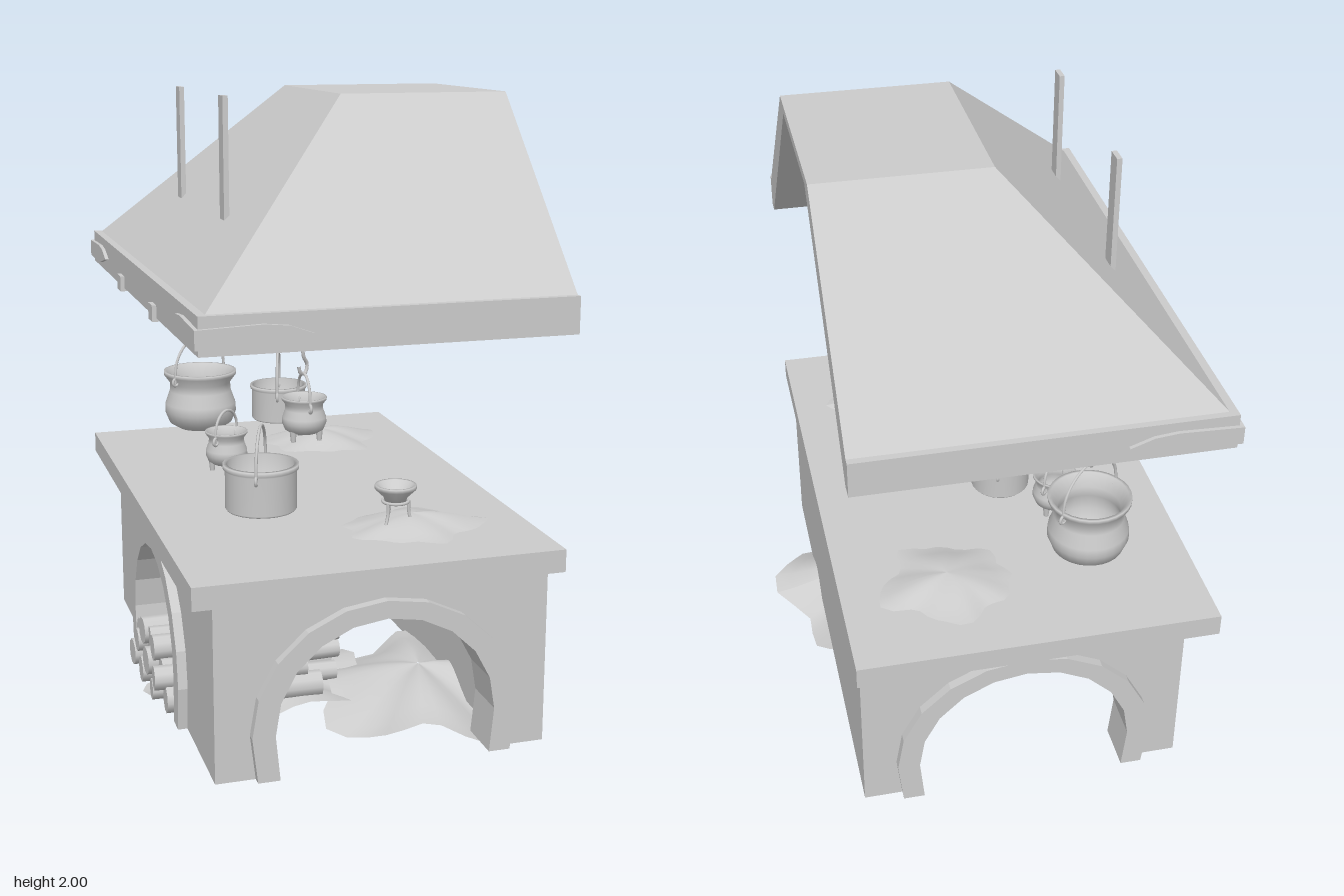
import * as THREE from 'three';

const grey = new THREE.MeshStandardMaterial({ color: 0xcccccc });
const flat = new THREE.MeshStandardMaterial({ color: 0xcccccc, flatShading: true });
const thin = new THREE.MeshStandardMaterial({ color: 0xcccccc, side: THREE.DoubleSide });
const V3 = (x, y, z) => new THREE.Vector3(x, y, z);
const V2 = (x, y) => new THREE.Vector2(x, y);

function add(parent, name, geometry, material = grey, x = 0, y = 0, z = 0) {
  const mesh = new THREE.Mesh(geometry, material);
  mesh.name = name;
  mesh.position.set(x, y, z);
  parent.add(mesh);
  return mesh;
}
function addGroup(parent, name, x = 0, y = 0, z = 0) {
  const g = new THREE.Group();
  g.name = name;
  g.position.set(x, y, z);
  parent.add(g);
  return g;
}
const box = (w, h, d) => new THREE.BoxGeometry(w, h, d);
const extrude = (points, depth) =>
  new THREE.ExtrudeGeometry(new THREE.Shape(points), { depth, bevelEnabled: false });
const rod = (points, r = 0.005, n = 16) =>
  new THREE.TubeGeometry(new THREE.CatmullRomCurve3(points), n, r, 6);

// Faceted arch outline from right foot to left foot
function arch(w, top) {
  const pts = [V2(w * 0.96, 0.06)];
  for (let i = 0; i <= 10; i++) {
    const a = (i / 10) * Math.PI;
    pts.push(V2(w * Math.cos(a), 0.2 + (top - 0.2) * Math.sin(a)));
  }
  pts.push(V2(-w * 0.96, 0.06));
  return pts;
}

// Wall pierced by an arch, with a raised stone trim
function archedWall(parent, name, half, depth, x, z, turn) {
  const g = addGroup(parent, name, x, 0, z);
  g.rotation.y = turn;
  const outer = arch(0.41, 0.58), inner = arch(0.34, 0.525);
  const wall = [V2(-half, 0.06), V2(-half, 0.63), V2(half, 0.63), V2(half, 0.06), ...outer];
  add(g, 'wall', extrude(wall, depth), flat, 0, 0, -depth);
  add(g, 'archTrim', extrude([...outer, ...inner.reverse()], depth + 0.03), flat, 0, 0, -depth);
}

// Open-sided hood: rings of four corners joined into a shell
function hoodGeometry() {
  const rings = [
    [-0.59, 1.35, 0.89], [-0.59, 1.46, 0.89], [-0.565, 1.46, 0.868],
    [-0.02, 2, 0.315], [0.01, 1.97, 0.245], [-0.53, 1.35, 0.84],
  ].map(([x, y, z]) => [V3(0.51, y, z), V3(x, y, z), V3(x, y, -z), V3(0.51, y, -z)]);
  const [A, B, C, D, E, F] = rings;
  const tris = [];
  const quad = (a, b, c, d) => tris.push(a, b, c, a, c, d);
  for (const [r, n] of [[A, B], [B, C], [C, D], [E, F], [F, A]])
    for (let i = 0; i < 3; i++) quad(r[i + 1], r[i], n[i], n[i + 1]);
  quad(D[1], D[0], D[3], D[2]);
  quad(E[1], E[2], E[3], E[0]);
  quad(F[0], C[0], B[0], A[0]);
  quad(F[0], E[0], D[0], C[0]);
  quad(A[3], B[3], C[3], F[3]);
  quad(C[3], D[3], E[3], F[3]);
  quad(D[0], E[0], E[3], D[3]);
  const g = new THREE.BufferGeometry().setFromPoints(tris);
  g.computeVertexNormals();
  return g;
}

// Ragged heap of ash: a disc with raised middle and wavy rim
function ashHeap(parent, name, x, y, z, rx, rz, h, wave, seed) {
  const g = new THREE.RingGeometry(0.01, 1, 36, 7).rotateX(-Math.PI / 2);
  const p = g.attributes.position;
  for (let i = 0; i < p.count; i++) {
    const px = p.getX(i), pz = p.getZ(i);
    const r = Math.min(1, Math.hypot(px, pz)), a = Math.atan2(pz, px);
    const k = 1 + r * (0.1 * Math.sin(5 * a + seed) + 0.06 * Math.sin(9 * a + 2 * seed));
    const lift = h * (1 - r * r) ** 1.5 * (1 + 0.25 * Math.sin(3 * a + seed) * r);
    p.setXYZ(i, px * rx * k, lift + wave * r * Math.sin(4 * a + seed), pz * rz * k);
  }
  g.computeVertexNormals();
  add(parent, name, g, thin, x, y, z);
}

// Vessel profiles as [radius, height]
const potProfile = [[0, 0], [0.11, 0], [0.115, 0.006], [0.115, 0.13], [0.122, 0.136], [0.122, 0.15],
  [0.108, 0.15], [0.105, 0.02], [0, 0.015]];
const cauldronProfile = [[0, 0], [0.08, 0], [0.112, 0.02], [0.128, 0.06], [0.126, 0.09], [0.11, 0.135],
  [0.108, 0.165], [0.13, 0.195], [0.13, 0.208], [0.12, 0.208], [0.097, 0.165], [0.1, 0.13],
  [0.115, 0.07], [0.08, 0.02], [0, 0.015]];

// Vessel with ears and a bail handle
function vessel(parent, name, profile, s, x, y, z, turn, handle, feet = false) {
  const g = addGroup(parent, name, x, y, z);
  g.rotation.y = turn;
  const lathe = new THREE.LatheGeometry(profile.map(([r, h]) => V2(r * s, h * s)), 28);
  add(g, 'body', lathe, thin);
  const top = Math.max(...profile.map((q) => q[1])) * s, w = 0.126 * s;
  const bail = [V3(-w, top - 0.03, 0)];
  for (let i = 0; i <= 8; i++) {
    const a = Math.PI - (i / 8) * Math.PI;
    bail.push(V3(w * Math.cos(a), top + handle * Math.sin(a), 0));
  }
  bail.push(V3(w, top - 0.03, 0));
  add(g, 'handle', rod(bail, 0.005, 32));
  for (const side of [-1, 1])
    add(g, 'ear', new THREE.TorusGeometry(0.013, 0.005, 6, 12), grey, side * w, top - 0.025, 0);
  for (let i = 0; feet && i < 3; i++) {
    const a = (i / 3) * Math.PI * 2;
    const foot = new THREE.CylinderGeometry(0.012, 0.008, 0.035, 8);
    add(g, 'foot', foot, grey, 0.05 * Math.cos(a), -0.008, 0.05 * Math.sin(a));
  }
}

// Chain of rings with a pot hook below
function chainHook(parent, x, z, top, turn) {
  const g = addGroup(parent, 'chainAndHook', x, 0, z);
  g.rotation.y = turn;
  for (let i = 0; i < 6; i++) {
    const y = top + (1.32 - top) * (i / 5);
    const link = add(g, 'link', new THREE.TorusGeometry(0.023, 0.005, 6, 14), grey, 0, y, 0);
    link.rotation.y = i % 2 ? 0.25 : Math.PI / 2;
  }
  add(g, 'hook', rod([V3(0, 1.31, 0), V3(0, 1.24, 0), V3(0.004, 1.17, 0), V3(0.022, 1.14, 0),
    V3(0.012, 1.113, 0), V3(-0.01, 1.115, 0), V3(-0.02, 1.14, 0)], 0.006, 24));
}

export function createModel() {
  const model = new THREE.Group();
  model.name = 'hearth';

  // Stone base and worktop
  const base = addGroup(model, 'base');
  archedWall(base, 'frontWall', 0.515, 0.12, -0.025, 0.78, 0);
  archedWall(base, 'backWall', 0.515, 0.12, -0.025, -0.78, Math.PI);
  archedWall(base, 'rightWall', 0.66, 0.12, -0.54, 0, -Math.PI / 2);
  add(base, 'leftWall', box(0.12, 0.57, 1.32), flat, 0.43, 0.345, 0);
  add(base, 'worktop', box(1.125, 0.07, 1.73), flat, -0.053, 0.665, -0.005);

  // Hood with iron corner plates, brackets and hanger bars
  const hood = addGroup(model, 'hood');
  add(hood, 'hoodShell', hoodGeometry(), flat);
  const plate = [V2(0, 1.37), V2(0.19, 1.37), V2(0.26, 1.385), V2(0.33, 1.4), V2(0.26, 1.425),
    V2(0.19, 1.432), V2(0, 1.425)];
  for (const s of [-1, 1]) {
    add(hood, 'cornerPlate', extrude(plate, 0.012), flat, -0.602, 0, s * 0.896 - 0.006);
    const sidePlate = add(hood, 'cornerPlate', extrude(plate, 0.012), flat, -0.596 - s * 0.006, 0, s * 0.9);
    sidePlate.rotation.y = (s * Math.PI) / 2;
    add(hood, 'hangerBar', box(0.016, 0.4, 0.055), flat, -0.378, 1.8, s * 0.31);
    add(hood, 'bracket', box(0.015, 0.05, 0.06), flat, -0.596, 1.365, s * 0.28);
    add(hood, 'bracketFoot', box(0.08, 0.012, 0.06), flat, -0.56, 1.346, s * 0.28);
  }

  // Hanging vessels
  chainHook(model, -0.09, 0.14, 1.55, 0.6);
  chainHook(model, -0.06, -0.295, 1.52, 0.3);
  chainHook(model, -0.275, -0.57, 1.55, 0.9);
  vessel(model, 'smallHangingCauldron', cauldronProfile, 0.56, -0.09, 0.925, 0.155, Math.PI / 2, 0.075, true);
  vessel(model, 'hangingPot', potProfile, 0.8, -0.06, 0.865, -0.275, Math.PI / 2 - 0.3, 0.13);
  vessel(model, 'largeCauldron', cauldronProfile, 1, -0.275, 0.78, -0.56, 0.6, 0.125);

  // Vessels standing on the worktop
  vessel(model, 'cookingPot', potProfile, 1, -0.25, 0.7, 0.215, 1.2, 0.12);
  vessel(model, 'footedCauldron', cauldronProfile, 0.56, -0.255, 0.725, -0.24, 0.8, 0.07, true);
  const trivet = addGroup(model, 'bowlOnTrivet', 0.09, 0.7, 0.535);
  const bowl = [[0, 0.085], [0.03, 0.085], [0.038, 0.105], [0.064, 0.13], [0.064, 0.142], [0.055, 0.142],
    [0.03, 0.11], [0, 0.1]];
  add(trivet, 'bowl', new THREE.LatheGeometry(bowl.map((q) => V2(...q)), 20), thin);
  const ring = add(trivet, 'ring', new THREE.TorusGeometry(0.04, 0.005, 6, 20), grey, 0, 0.09, 0);
  ring.rotation.x = Math.PI / 2;
  for (let i = 0; i < 3; i++) {
    const a = (i / 3) * Math.PI * 2 + 0.4, c = Math.cos(a), s = Math.sin(a);
    add(trivet, 'leg', rod([V3(0.04 * c, 0.09, 0.04 * s), V3(0.042 * c, 0.05, 0.042 * s), V3(0.062 * c, 0, 0.062 * s)]));
  }

  // Ash on the worktop and under the arches
  ashHeap(model, 'frontAsh', 0.15, 0.698, 0.52, 0.22, 0.17, 0.045, 0.004, 1);
  ashHeap(model, 'backAsh', 0.17, 0.698, -0.54, 0.21, 0.19, 0.045, 0.004, 2.6);
  ashHeap(model, 'leftFloorAsh', 0.27, 0.04, 0.27, 0.34, 0.39, 0.09, 0.04, 0.6);
  ashHeap(model, 'rightFloorAsh', -0.24, 0.05, 0.1, 0.36, 0.27, 0.04, 0.025, 3.1);

  // Stacked firewood
  const wood = addGroup(model, 'firewood');
  [7, 6, 3].forEach((count, row) => {
    for (let i = 0; i < count; i++) {
      const r = 0.04 + 0.006 * Math.sin(i * 2.3 + row), len = 0.56 + 0.07 * Math.sin(i * 1.7 + row * 2);
      const log = new THREE.CylinderGeometry(r, r * 0.92, len, 10).rotateZ(Math.PI / 2);
      const z = (i - (count - 1) / 2) * 0.088 + row * 0.025;
      const m = add(wood, 'log', log, grey, -0.595 + len / 2 + 0.02 * Math.cos(i * 3 + row), 0.105 + row * 0.064, z);
      m.rotation.y = 0.06 * Math.sin(i * 2 + row);
    }
  });
  return model;
}
